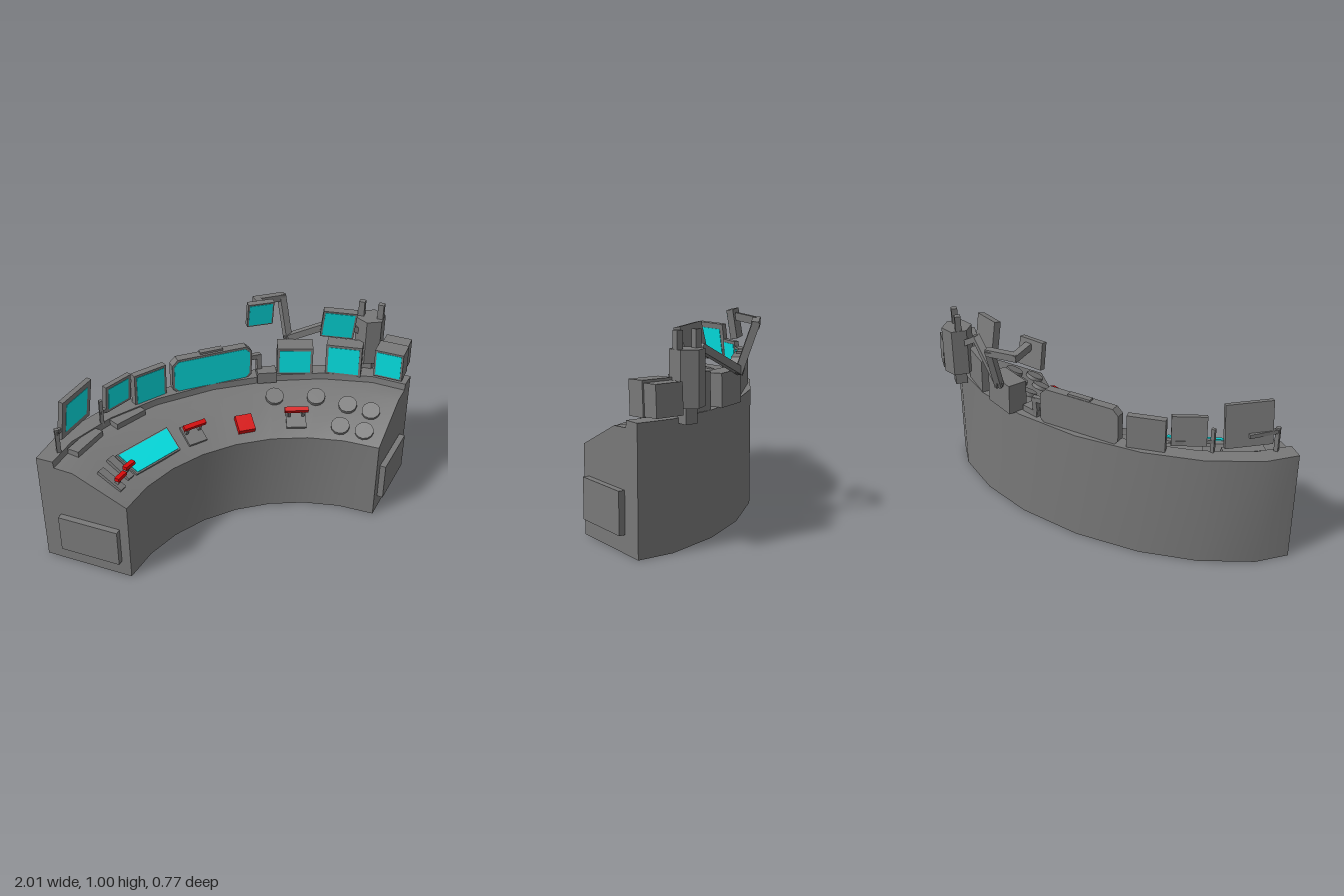
import * as THREE from 'three';
import { toCreasedNormals } from 'three/addons/utils/BufferGeometryUtils.js';

const mat = (name, color) => Object.assign(new THREE.MeshStandardMaterial({ color }), { name });

export function createModel() {
  const grey = mat('grey metal', 0x787878);
  const cyan = mat('cyan screen', 0x04e2e4);
  const red = mat('red control', 0xd80a0a);
  const root = new THREE.Group();
  root.name = 'controlConsole';

  const add = (parent, name, geo, material, x = 0, y = 0, z = 0, yaw = 0, pitch = 0) => {
    const m = new THREE.Mesh(geo, material);
    m.name = name;
    m.position.set(x, y, z);
    m.rotation.set(pitch, yaw, 0, 'YXZ');
    parent.add(m);
    return m;
  };
  const box = (w, h, d) => new THREE.BoxGeometry(w, h, d);
  const group = (name, x, y, z, yaw = 0, pitch = 0) => {
    const g = new THREE.Group();
    g.name = name;
    g.position.set(x, y, z);
    g.rotation.set(pitch, yaw, 0, 'YXZ');
    root.add(g);
    return g;
  };
  // Square bar between two points
  const beam = (name, a, b, w = 0.035) => {
    const p = new THREE.Vector3(...a), q = new THREE.Vector3(...b);
    const m = add(root, name, box(w, w, p.distanceTo(q) + w * 0.8), grey);
    m.position.copy(p).lerp(q, 0.5);
    m.lookAt(q);
  };
  // Flat plate from an outline, centred in depth
  const plate = (points, d) => new THREE.ExtrudeGeometry(
    new THREE.Shape(points.map(p => new THREE.Vector2(...p))), { depth: d, bevelEnabled: false }).translate(0, 0, -d / 2);
  // Panel with cut corners
  const panel = (w, h, d, c) => {
    if (!c) return box(w, h, d);
    const a = w / 2, b = h / 2;
    return plate([[-a + c, -b], [a - c, -b], [a, -b + c], [a, b - c],
      [a - c, b], [-a + c, b], [-a, b - c], [-a, -b + c]], d);
  };
  // Lying slab, wider at the back than at the front
  const slab = (back, front, depth, h) => plate([[-front / 2, -depth / 2], [front / 2, -depth / 2],
    [back / 2, depth / 2], [-back / 2, depth / 2]], h).rotateX(-Math.PI / 2);

  // Curved desk: a cross-section swept along facets from inner to outer edge
  const CX = -0.018, CZ = 1.06;
  const rIn = u => 0.96 - 0.023 * u * u, rOut = u => 1.365 + 0.028 * u * u;
  const outer = [[0, -0.305], [0.34, -0.273], [0.62, -0.19], [0.865, -0.055], [0.983, 0.073]];
  const at = (i, [t, y]) => {
    const u = i / 4, [ox, oz] = outer[Math.abs(i)];
    const ix = rIn(u) * Math.sin(u * 0.765), iz = CZ - rIn(u) * Math.cos(u * 0.765);
    return [CX + ix + (Math.sign(i) * ox - ix) * t, y, iz + (oz - iz) * t];
  };
  const profile = [[0, 0], [0, 0.42], [0.59, 0.545], [0.8, 0.55], [0.81, 0.583], [1, 0.583], [1, 0]];
  const n = profile.length, v = [];
  for (let i = -4; i < 4; i++) {
    profile.forEach((p, j) => {
      const q = profile[(j + 1) % n];
      const a = at(i, p), b = at(i + 1, p), c = at(i + 1, q), d = at(i, q);
      v.push(...a, ...b, ...c, ...a, ...c, ...d);
    });
  }
  for (let j = 0; j < n - 2; j++) {
    v.push(...at(4, profile[n - 1]), ...at(4, profile[j + 1]), ...at(4, profile[j]));
    v.push(...at(-4, profile[n - 1]), ...at(-4, profile[j]), ...at(-4, profile[j + 1]));
  }
  const desk = new THREE.BufferGeometry();
  desk.setAttribute('position', new THREE.Float32BufferAttribute(v, 3));
  add(root, 'desk', toCreasedNormals(desk, 0.6), grey);

  // Access panels on both ends
  for (const s of [-1, 1]) {
    add(root, 'endPanel', box(0.31, 0.195, 0.03), grey, CX + s * 0.807, 0.183, 0.26, s * 0.75);
  }

  // Monitors: frame plus thin screen
  const monitor = (name, x, y, z, w, h, d, yaw, pitch, margin = 0.013, cut = 0) => {
    const g = group(name, x, y, z, yaw, pitch);
    add(g, 'frame', panel(w, h, d, cut), grey);
    add(g, 'screen', panel(w - 2 * margin, h - 2 * margin, 0.004, cut * 0.8), cyan, 0, 0, d / 2);
    return g;
  };
  monitor('leftArmMonitor', -0.78, 0.74, -0.03, 0.23, 0.215, 0.025, 0.73, 0.14, 0.03);
  monitor('leftSmallMonitor', -0.543, 0.697, -0.155, 0.165, 0.15, 0.025, 0.49, 0.08, 0.016);
  monitor('leftDeskMonitor', -0.36, 0.66, -0.225, 0.185, 0.18, 0.035, 0.27, 0.02);
  const wide = monitor('wideMonitor', -0.02, 0.668, -0.25, 0.43, 0.195, 0.045, 0, 0.02, 0.012, 0.03);
  add(wide, 'topCover', box(0.12, 0.02, 0.03), grey, 0, 0.098, -0.005);
  monitor('rightBoxMonitor', 0.43, 0.657, -0.213, 0.185, 0.155, 0.1, -0.38, 0.02);
  monitor('rightDeskMonitor', 0.662, 0.667, -0.1, 0.185, 0.175, 0.08, -0.58, 0.02);
  monitor('raisedMonitor', 0.615, 0.878, -0.1, 0.17, 0.165, 0.035, -0.45, 0.2, 0.01).rotation.z = -0.08;
  monitor('highMonitor', 0.245, 0.933, -0.25, 0.135, 0.135, 0.03, -0.1, 0.16, 0.008);
  const tube = monitor('endMonitor', 0.862, 0.678, 0.035, 0.15, 0.155, 0.1, -0.78, 0.05, 0.01);
  add(tube, 'rearHousing', box(0.135, 0.14, 0.09), grey, 0, -0.004, -0.09);

  // Stands and arms of the left monitors
  beam('leftPost', [-0.89, 0.57, 0.06], [-0.89, 0.7, 0.06], 0.02);
  beam('leftPostArm', [-0.89, 0.69, 0.06], [-0.8, 0.69, -0.045], 0.02);
  beam('smallPost', [-0.64, 0.57, -0.1], [-0.64, 0.7, -0.1], 0.018);
  beam('smallPostArm', [-0.64, 0.64, -0.1], [-0.5, 0.64, -0.19], 0.018);
  add(root, 'leftBase', box(0.2, 0.03, 0.06), grey, -0.75, 0.562, 0.005, 0.7);
  add(root, 'smallBase', box(0.18, 0.03, 0.06), grey, -0.505, 0.562, -0.125, 0.42);

  // Cable box and elbow beside the wide monitor
  add(root, 'cableBox', box(0.1, 0.06, 0.07), grey, 0.27, 0.585, -0.21, -0.25);
  beam('cableElbow', [0.18, 0.685, -0.25], [0.24, 0.685, -0.25], 0.025);
  beam('cableElbow', [0.24, 0.685, -0.25], [0.24, 0.6, -0.24], 0.025);

  // Jointed arms of the right monitors
  const joints = [[0.26, 0.965, -0.27], [0.27, 0.948, -0.355], [0.412, 0.94, -0.36], [0.422, 0.735, -0.29],
    [0.65, 0.86, -0.15]];
  for (let i = 0; i < joints.length - 1; i++) beam('monitorArm', joints[i], joints[i + 1]);
  beam('armLink', [0.65, 0.86, -0.15], [0.78, 0.78, -0.11], 0.03);

  // Power unit with two pipes
  const unit = group('powerUnit', 0.805, 0, -0.11, -0.75);
  add(unit, 'housing', new THREE.CylinderGeometry(0.077, 0.077, 0.245, 6).toNonIndexed(), grey, 0, 0.753, 0)
    .geometry.computeVertexNormals();
  add(unit, 'foot', box(0.06, 0.08, 0.06), grey, 0, 0.598, 0);
  for (const s of [-1, 1]) add(unit, 'pipe', box(0.03, 0.1, 0.03), grey, s * 0.05, 0.905, 0);

  // Group lying on the sloped control surface
  const onSlope = (name, x, z) => {
    const a = Math.atan2(x - CX, CZ - z), u = a / 0.77;
    const t = (Math.hypot(x - CX, CZ - z) - rIn(u)) / (rOut(u) - rIn(u));
    return group(name, x, 0.42 + 0.125 * Math.min(t / 0.59, 1), z, -a, 0.47);
  };

  // Inset touch screen
  const touch = onSlope('touchScreen', -0.462, 0.088);
  add(touch, 'frame', slab(0.325, 0.28, 0.135, 0.02), grey, 0, 0.007, 0);
  add(touch, 'screen', slab(0.308, 0.264, 0.12, 0.006), cyan, 0, 0.018, 0);

  // Throttle levers with red handles
  for (const [x, z] of [[-0.215, 0.015], [0.32, 0.065]]) {
    const g = onSlope('throttle', x, z);
    add(g, 'base', box(0.1, 0.02, 0.11), grey, 0, 0.005, 0);
    for (const s of [-1, 1]) add(g, 'lever', box(0.014, 0.07, 0.02), grey, s * 0.035, 0.035, -0.015);
    add(g, 'handle', box(0.12, 0.022, 0.024), red, 0, 0.07, -0.015);
  }

  // Narrow slide levers
  for (const [x, z] of [[-0.693, 0.232], [-0.632, 0.168]]) {
    const g = onSlope('slideLever', x, z);
    add(g, 'track', box(0.04, 0.02, 0.14), grey, 0, 0.005, 0);
    add(g, 'stem', box(0.014, 0.06, 0.02), grey, 0, 0.03, 0.03);
    add(g, 'handle', box(0.065, 0.018, 0.024), red, 0, 0.067, 0.03, 0, -0.47);
  }

  // Red push block
  add(onSlope('pushBlock', 0.058, 0.018), 'block', box(0.085, 0.034, 0.09), red, 0, 0.015, 0);

  // Round buttons
  for (const [x, z] of [[0.26, -0.075], [0.46, 0], [0.59, 0.105], [0.68, 0.19], [0.51, 0.19], [0.605, 0.27]]) {
    const geo = toCreasedNormals(new THREE.CylinderGeometry(0.047, 0.047, 0.024, 12), 0.6);
    add(onSlope('roundButton', x, z), 'button', geo, grey, 0, 0.006, 0);
  }
  return root;
}
